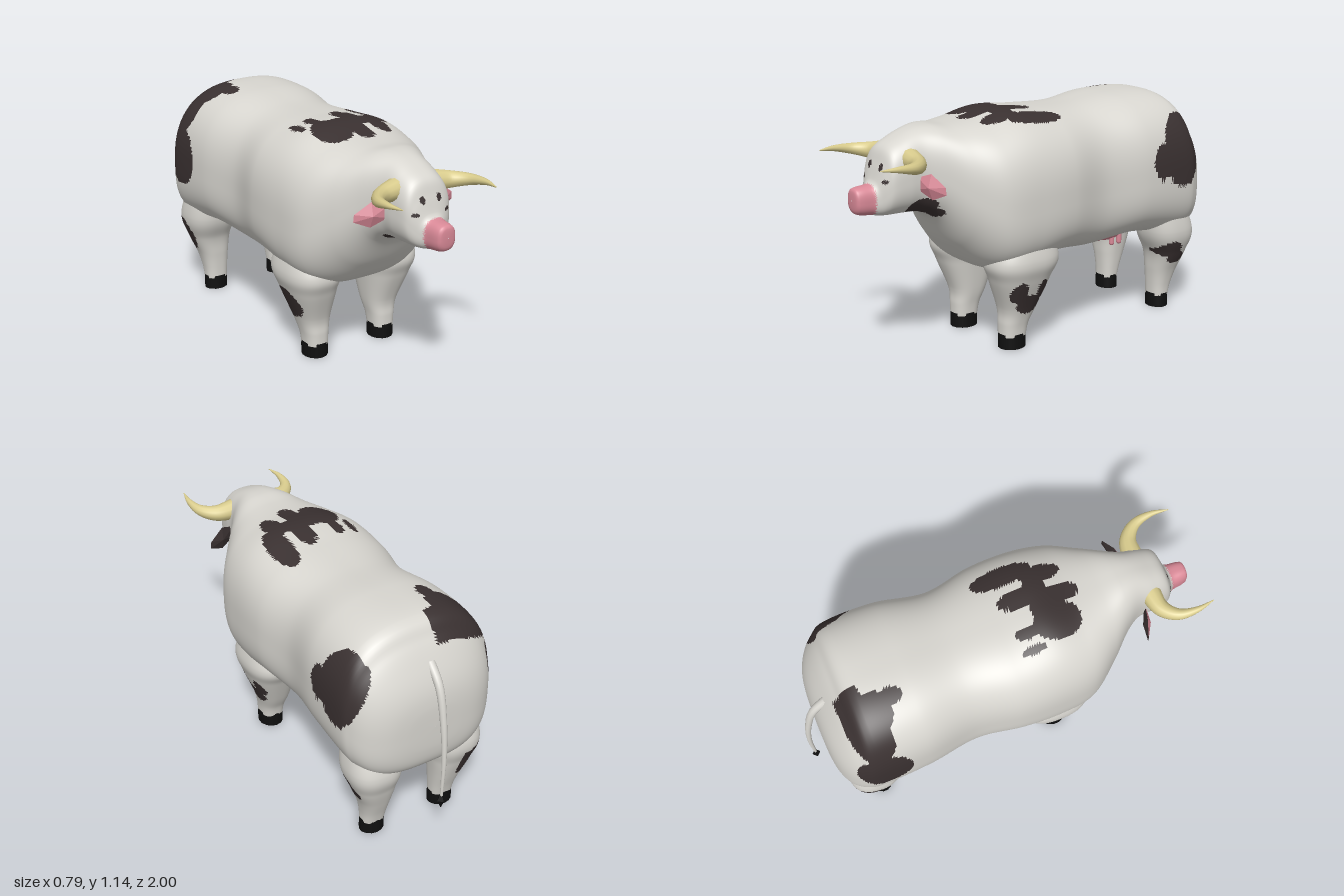
import * as THREE from 'three';

const mat = (name, color) => Object.assign(new THREE.MeshStandardMaterial({ color }), { name });

// Dark patches as ellipses: two centre coordinates, then two radii
const onBack = [ // x, z
  [-0.11, 0.26, 0.09, 0.115], [0.01, 0.32, 0.045, 0.09], [0.05, 0.14, 0.05, 0.11], [0.135, 0.27, 0.045, 0.1],
  [0.19, 0.1, 0.055, 0.15], [-0.12, 0.11, 0.03, 0.06], [0, 0.22, 0.17, 0.06], [-0.2, 0.11, 0.02, 0.06],
  [-0.2, -0.66, 0.09, 0.08], [-0.16, -0.57, 0.04, 0.05],
];
const onLeft = [ // z, y
  [-0.7, 0.86, 0.13, 0.18], [-0.56, 0.82, 0.06, 0.09],
  [0.69, 0.75, 0.07, 0.045], [0.63, 0.71, 0.04, 0.03],
  [0.28, 0.3, 0.04, 0.055], [0.21, 0.23, 0.07, 0.05], [0.145, 0.3, 0.035, 0.05],
  [-0.7, 0.33, 0.06, 0.045], [-0.74, 0.28, 0.05, 0.035],
];
const onRight = [ // z, y
  [-0.7, 0.78, 0.13, 0.15], [-0.72, 1.02, 0.1, 0.11], [0.69, 0.72, 0.04, 0.025],
  [0.18, 0.28, 0.11, 0.08], [-0.8, 0.31, 0.09, 0.1],
];
const onFace = [[0.045, 0.95, 0.014, 0.016], [0.086, 0.89, 0.017, 0.009]]; // |x|, y

const within = (list, u, v) => list.some(([a, b, ra, rb]) => ((u - a) / ra) ** 2 + ((v - b) / rb) ** 2 < 1);
const isPatch = ({ x, y, z }) =>
  (y > 1.02 && within(onBack, x, z))
  || (Math.abs(x) > (y < 0.5 ? 0.21 : 0.06) && within(x > 0 ? onLeft : onRight, z, y))
  || (z > 0.8 && within(onFace, Math.abs(x), y));

// Smooth spline through section rows, finely resampled
function resample(rows, step) {
  const out = [];
  for (let i = 0; i < rows.length - 1; i++) {
    const p0 = rows[Math.max(i - 1, 0)], p1 = rows[i], p2 = rows[i + 1], p3 = rows[Math.min(i + 2, rows.length - 1)];
    const n = Math.max(2, Math.ceil(Math.max(...p1.map((v, k) => Math.abs(p2[k] - v))) / step));
    for (let j = 0; j < n; j++) {
      const t = j / n;
      out.push(p1.map((b, k) => {
        const a = p0[k], c = p2[k], d = p3[k];
        return b + 0.5 * t * (c - a + t * (2 * a - 5 * b + 4 * c - d + t * (3 * (b - c) + d - a)));
      }));
    }
  }
  out.push(rows[rows.length - 1]);
  return out;
}

// Skin over sections; each triangle goes to the colour picked from its centre
function loft(rows, sides, place, pick, materials) {
  const pts = [], buckets = materials.map(() => []);
  for (const row of rows)
    for (let j = 0; j < sides; j++) pts.push(place(row, (j / sides) * Math.PI * 2));
  const c = new THREE.Vector3();
  const tri = (...t) => {
    c.set(0, 0, 0);
    t.forEach(k => c.addScaledVector(pts[k], 1 / 3));
    buckets[pick(c)].push(...t);
  };
  for (let i = 0; i < rows.length - 1; i++)
    for (let j = 0; j < sides; j++) {
      const a = i * sides + j, b = i * sides + (j + 1) % sides;
      tri(a, b, a + sides);
      tri(b, b + sides, a + sides);
    }
  const geo = new THREE.BufferGeometry().setFromPoints(pts);
  geo.setIndex(buckets.flat());
  let start = 0;
  buckets.forEach((b, k) => { geo.addGroup(start, b.length, k); start += b.length; });
  geo.computeVertexNormals();
  return new THREE.Mesh(geo, materials);
}

const power = (v, n) => Math.sign(v) * Math.abs(v) ** (2 / n);

// Tube narrowing from r0 to r1
function taperedTube(points, r0, r1, segs = 28, sides = 12) {
  const curve = new THREE.CatmullRomCurve3(points.map(p => new THREE.Vector3(...p)));
  const geo = new THREE.TubeGeometry(curve, segs, 1, sides);
  const pos = geo.attributes.position, v = new THREE.Vector3();
  for (let i = 0; i < pos.count; i++) {
    const t = Math.floor(i / (sides + 1)) / segs, o = curve.getPointAt(t);
    v.fromBufferAttribute(pos, i).sub(o).multiplyScalar(r0 + (r1 - r0) * t).add(o);
    pos.setXYZ(i, v.x, v.y, v.z);
  }
  return geo;
}

// Trunk, neck and head sections: z, half width, top y, bottom y
const trunk = [
  [-0.922, 0.001, 0.66, 0.655], [-0.918, 0.15, 0.77, 0.53], [-0.9, 0.25, 0.86, 0.45], [-0.86, 0.325, 0.95, 0.405],
  [-0.8, 0.372, 1.045, 0.39], [-0.72, 0.393, 1.125, 0.39], [-0.48, 0.388, 1.135, 0.42], [-0.23, 0.347, 1.112, 0.4],
  [0, 0.388, 1.12, 0.42], [0.2, 0.39, 1.137, 0.39], [0.37, 0.365, 1.11, 0.4], [0.5, 0.28, 1.102, 0.52],
  [0.6, 0.195, 1.11, 0.67], [0.68, 0.148, 1.1, 0.71], [0.76, 0.138, 1.07, 0.718], [0.83, 0.125, 1.03, 0.72],
  [0.86, 0.105, 0.96, 0.722], [0.885, 0.075, 0.885, 0.726], [0.905, 0.06, 0.87, 0.73], [0.96, 0.052, 0.865, 0.738],
  [0.985, 0.04, 0.855, 0.755], [0.99, 0.001, 0.81, 0.805],
];
const bodyPoint = ([z, w, top, bottom], a) => {
  const s = Math.sin(a), mid = bottom + (top - bottom) * 0.46;
  const e = s > 0 ? 2.6 : 3 - 0.6 * THREE.MathUtils.smoothstep(z, 0.25, 0.55); // squarer belly, rounder throat
  return new THREE.Vector3(w * power(Math.cos(a), e), mid + (s > 0 ? top - mid : mid - bottom) * power(s, e), z);
};

// Leg sections: y, centre x, radius x, centre z, radius z
const frontLeg = [
  [0.06, 0.195, 0.058, 0.242, 0.066], [0.12, 0.195, 0.064, 0.235, 0.073], [0.2, 0.198, 0.082, 0.217, 0.094],
  [0.35, 0.215, 0.12, 0.212, 0.152], [0.45, 0.22, 0.14, 0.205, 0.185], [0.6, 0.22, 0.1, 0.2, 0.12],
];
const rearLeg = [
  [0.06, 0.195, 0.058, -0.72, 0.049], [0.12, 0.195, 0.063, -0.727, 0.058], [0.2, 0.2, 0.077, -0.738, 0.075],
  [0.3, 0.213, 0.105, -0.748, 0.098], [0.42, 0.22, 0.133, -0.738, 0.135], [0.62, 0.22, 0.1, -0.7, 0.1],
];

export function createModel() {
  const model = new THREE.Group();
  model.name = 'cow';
  const hide = mat('white hide', 0xd8d6d0), dark = mat('dark patch', 0x3a3131), pink = mat('pink skin', 0xda8a98);
  const hornMat = mat('horn', 0xdacd8e), black = mat('hoof black', 0x101010);
  const add = (mesh, name, parent = model) => { mesh.name = name; parent.add(mesh); return mesh; };

  // Body with pink muzzle
  const pickBody = p => (p.z > 0.9 ? 2 : isPatch(p) ? 1 : 0);
  add(loft(resample(trunk, 0.012), 160, bodyPoint, pickBody, [hide, dark, pink]), 'body');

  // Legs and hooves
  for (const [end, rows] of [['front', frontLeg], ['rear', rearLeg]])
    for (const s of [1, -1]) {
      const side = s > 0 ? 'Left' : 'Right';
      const place = ([y, x, rx, z, rz], a) =>
        new THREE.Vector3(s * x + rx * power(Math.cos(a), 2.5), y, z - rz * power(Math.sin(a), 2.5));
      add(loft(resample(rows, 0.011), 48, place, p => (isPatch(p) ? 1 : 0), [hide, dark]), `${end}${side}Leg`);
      const [, x, rx, z, rz] = rows[0];
      const hoof = add(new THREE.Mesh(new THREE.CylinderGeometry(1, 1, 0.073, 14), black), `${end}${side}Hoof`);
      hoof.scale.set(rx + 0.004, 1, rz + 0.004);
      hoof.position.set(s * x, 0.0365, z);
    }

  // Horns and ears, mirrored
  const hornGeo = taperedTube([[0.09, 0.98, 0.74], [0.19, 0.972, 0.76], [0.25, 0.977, 0.82],
    [0.266, 0.988, 0.91], [0.253, 0.992, 0.998]], 0.054, 0.002);
  const rim = [[0.12, 0.895], [0.195, 0.922], [0.272, 0.87], [0.275, 0.835], [0.2, 0.802], [0.12, 0.84]]
    .map(([x, y]) => new THREE.Vector3(x, y, 0.71 - 0.3 * (x - 0.14)));
  const earSide = (apex, back) => {
    const geo = new THREE.BufferGeometry().setFromPoints(rim.flatMap((p, i) => {
      const q = rim[(i + 1) % rim.length];
      return back ? [apex, p, q] : [apex, q, p];
    }));
    geo.computeVertexNormals();
    return geo;
  };
  for (const s of [1, -1]) {
    const side = add(new THREE.Group(), s > 0 ? 'leftHornAndEar' : 'rightHornAndEar');
    side.scale.x = s;
    add(new THREE.Mesh(hornGeo, hornMat), 'horn', side);
    add(new THREE.Mesh(earSide(new THREE.Vector3(0.2, 0.86, 0.715), false), pink), 'innerEar', side);
    add(new THREE.Mesh(earSide(new THREE.Vector3(0.2, 0.86, 0.675), true), dark), 'outerEar', side);
  }

  // Udder and teats
  const udder = add(new THREE.Mesh(new THREE.SphereGeometry(1, 24, 16), pink), 'udder');
  udder.scale.set(0.085, 0.068, 0.105);
  udder.position.set(0, 0.412, -0.525);
  for (const x of [-0.05, 0.05])
    for (const z of [-0.53, -0.58])
      add(new THREE.Mesh(new THREE.CapsuleGeometry(0.014, 0.04, 4, 10), pink), 'teat').position.set(x, 0.355, z);

  // Tail and tuft
  add(new THREE.Mesh(taperedTube([[-0.01, 0.955, -0.84], [-0.01, 0.87, -0.915], [-0.01, 0.7, -0.962],
    [-0.01, 0.5, -0.983], [-0.01, 0.29, -0.98]], 0.022, 0.007), hide), 'tail');
  const tuft = add(new THREE.Mesh(new THREE.OctahedronGeometry(1), black), 'tailTuft');
  tuft.scale.set(0.021, 0.048, 0.021);
  tuft.position.set(-0.01, 0.263, -0.979);
  return model;
}
